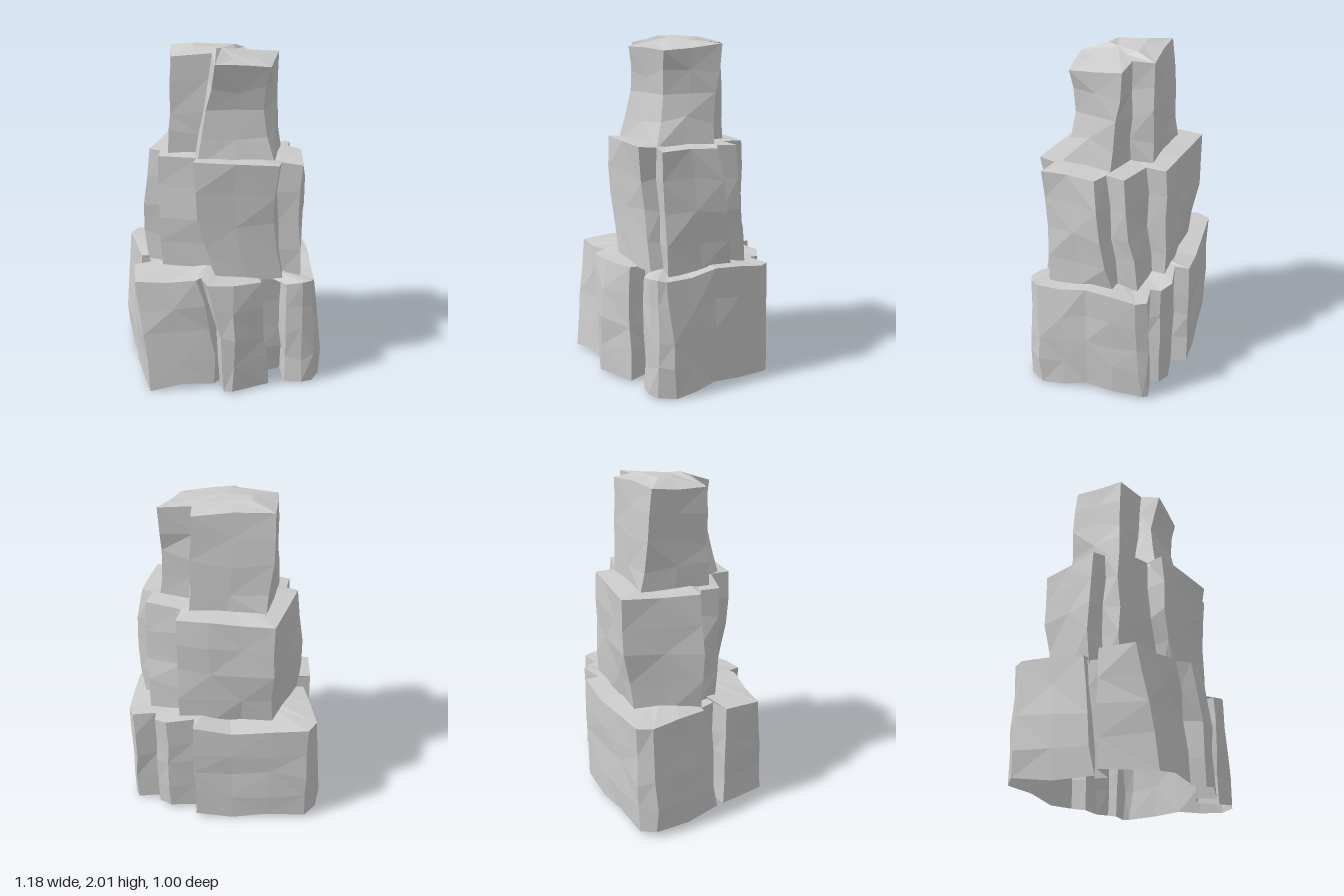
import * as THREE from 'three';

// Seeded noise in -1..1
function makeNoise(seed) {
  let s = seed;
  return () => {
    s = (s * 16807) % 2147483647;
    return (s / 2147483647) * 2 - 1;
  };
}

// Split long outline edges; corners are [x, z, foot dx, foot dz, waist dx, waist dz]
function subdivide(corners, maxLength) {
  const out = [];
  corners.forEach((a, i) => {
    const b = corners[(i + 1) % corners.length];
    const n = Math.max(1, Math.round(Math.hypot(b[0] - a[0], b[1] - a[1]) / maxLength));
    for (let k = 0; k < n; k++) {
      out.push([0, 1, 2, 3, 4, 5].map((c) => THREE.MathUtils.lerp(a[c] ?? 0, b[c] ?? 0, k / n)));
    }
  });
  return out;
}

// Craggy shell, open below: jittered rings rise along one outline, then close over a raised centre
function rockTier({ name, outline, base, top, rise, seed }) {
  const noise = makeNoise(seed);
  const ring = subdivide(outline, 0.2);
  const n = ring.length;
  const rows = 5;
  const positions = [];
  const index = [];

  // Side rings
  for (let r = 0; r < rows; r++) {
    const t = r / (rows - 1);
    const foot = 1 - t;
    const waist = Math.sin(Math.PI * t);
    const rough = r === rows - 1 ? 0.003 : 0.009;
    for (const [x, z, fx, fz, wx, wz] of ring) {
      const y0 = base + Math.abs(noise()) * 0.035;
      const y1 = top(x, z) + noise() * 0.008;
      positions.push(
        x + fx * foot + wx * waist + noise() * rough,
        THREE.MathUtils.lerp(y0, y1, t) + waist * noise() * 0.03,
        z + fz * foot + wz * waist + noise() * rough
      );
    }
  }

  // Inner ring of the top, then its centre
  for (const [x, z] of ring) {
    positions.push(x * 0.55, top(x, z) + rise * 0.7 + noise() * 0.006, z * 0.55);
  }
  positions.push(0, top(0, 0) + rise, 0);

  for (let r = 0; r < rows; r++) {
    for (let i = 0; i < n; i++) {
      const j = (i + 1) % n;
      const a = r * n + i, b = r * n + j, c = a + n, d = b + n;
      if ((i + r) % 2) index.push(a, c, b, b, c, d);
      else index.push(a, c, d, a, d, b);
    }
  }
  for (let i = 0; i < n; i++) {
    index.push(rows * n + i, (rows + 1) * n, rows * n + ((i + 1) % n));
  }

  const geometry = new THREE.BufferGeometry();
  geometry.setAttribute('position', new THREE.Float32BufferAttribute(positions, 3));
  geometry.setIndex(index);
  geometry.computeVertexNormals();
  const material = new THREE.MeshStandardMaterial({
    color: 0xcccccc, flatShading: true, side: THREE.DoubleSide,
  });
  const mesh = new THREE.Mesh(geometry, material);
  mesh.name = name;
  return mesh;
}

export function createModel() {
  const group = new THREE.Group();
  group.name = 'rockStack';

  // Wide base with deep, leaning clefts between its blocks
  group.add(rockTier({
    name: 'lowerRock',
    outline: [
      [-0.56, -0.41, -0.03, 0, -0.02, 0], [-0.51, -0.49], [0.17, -0.49], [0.17, -0.4], [0.34, -0.42],
      [0.41, -0.37], [0.41, -0.31], [0.55, -0.32, 0, -0.02], [0.58, -0.26, -0.01, -0.04],
      [0.55, 0.05, 0.01, 0], [0.51, 0.36, 0.06, -0.03, 0.02, 0], [0.49, 0.4, 0.02, 0.01, 0.01, 0],
      [0.43, 0.42, 0.01, 0.01], [0.34, 0.4], [0.33, 0.27], [0.19, 0.3, 0.03, 0],
      [0.19, 0.4, 0.04, 0.02], [0.01, 0.45, 0, 0.05, 0, 0.02], [-0.14, 0.45, 0.1, 0.03, 0.02, 0.01],
      [-0.17, 0.36, 0.11, 0.02, 0.03, 0], [-0.2, 0.38, 0.11, 0.02, 0.03, 0],
      [-0.55, 0.31, 0.06, 0.09, 0.01, 0.02],
      [-0.55, 0.08, 0, 0.01], [-0.43, 0.07, 0, 0.02], [-0.45, -0.04, -0.01, 0.07],
      [-0.5, -0.04, -0.03, 0.09],
    ],
    base: 0,
    top: (x, z) => 0.7 + 0.015 * Math.cos(9 * x + 4 * z) - (x > 0.32 && z > 0.2 ? 0.04 : 0),
    rise: 0.02,
    seed: 31,
  }));

  // Middle tier
  group.add(rockTier({
    name: 'middleRock',
    outline: [
      [-0.29, -0.45, 0, 0.07, 0, -0.03], [0.26, -0.35, 0, 0, 0, -0.01], [0.24, -0.23, 0, -0.04],
      [0.45, -0.16, 0, -0.09, 0.01, 0.02], [0.42, -0.05, 0.01, -0.07], [0.49, 0, 0, -0.1, 0.04, 0.01],
      [0.43, 0.33, 0.02, -0.03, -0.02, -0.01], [0.31, 0.29, 0.03, -0.03, -0.03, 0],
      [0.28, 0.39, 0.05, -0.05, -0.05, -0.02], [-0.2, 0.31, 0.12, 0.01, -0.04, 0],
      [-0.17, 0.2, 0.1, 0.02, -0.04, 0], [-0.39, 0.12, 0.01, 0],
      [-0.37, 0.01], [-0.43, -0.03, -0.03, 0, -0.03, 0],
    ],
    base: 0.66,
    top: (x) => 1.395 - 0.03 * x,
    rise: 0.015,
    seed: 77,
  }));

  // Narrow crown, hollowed at the front and flared at its foot
  group.add(rockTier({
    name: 'upperRock',
    outline: [
      [-0.28, -0.255, 0.04, -0.05, -0.01, 0], [0.17, -0.25, 0.02, 0], [0.17, -0.13, 0.02, 0.01],
      [0.36, -0.12, 0.02, 0.07, -0.02, 0], [0.255, 0.21, 0.01, 0.05, -0.04, -0.04],
      [-0.07, 0.24, -0.11, 0.02, 0.01, -0.05], [-0.07, 0.11, -0.11, 0], [-0.3, 0.08, -0.03, 0],
    ],
    base: 1.36,
    top: (x, z) => 1.955 - 0.04 * x - 0.1 * z + 0.04 * Math.max(0, 1 - Math.hypot(x + 0.06, z - 0.12) / 0.17),
    rise: 0.035,
    seed: 19,
  }));

  return group;
}
